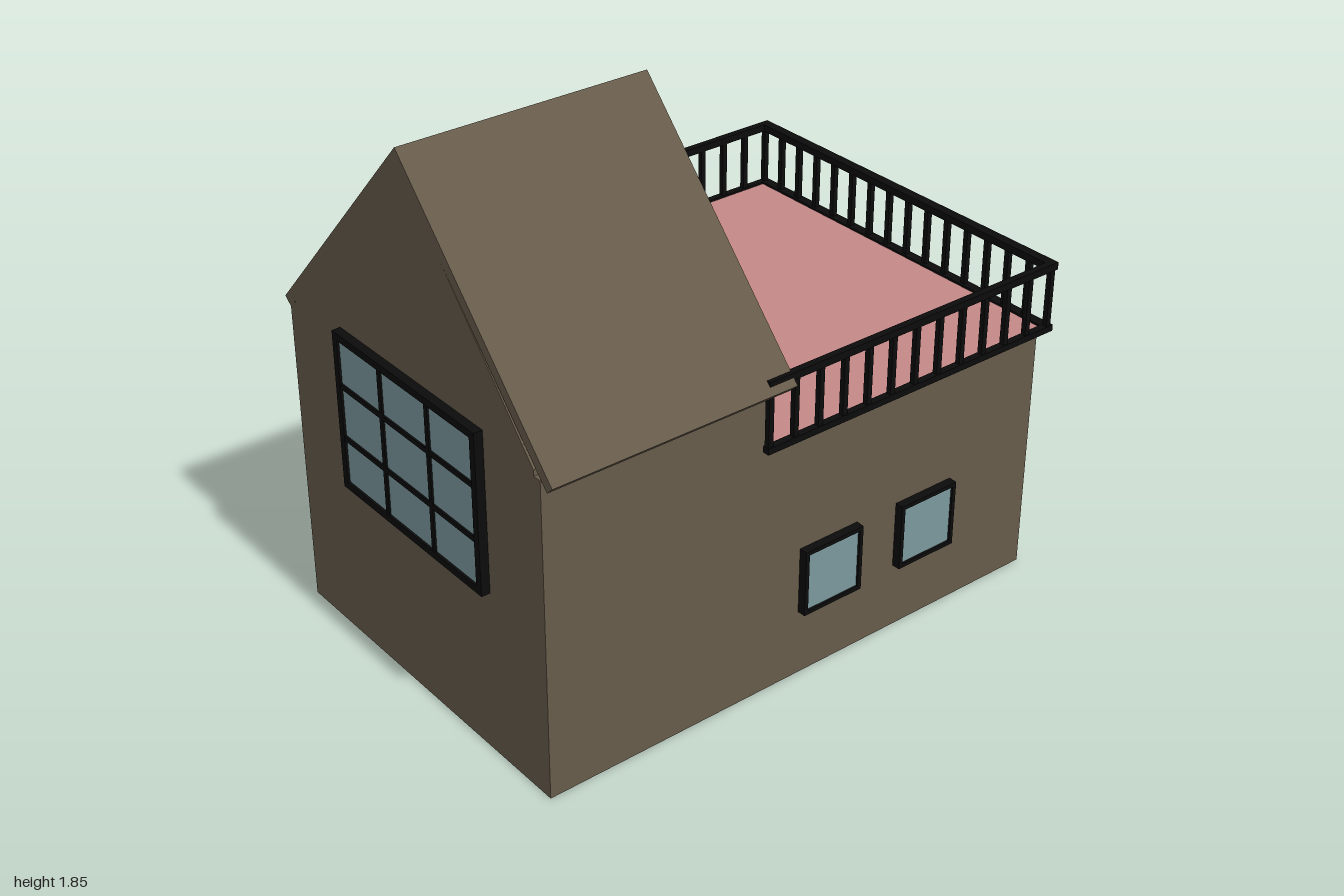
import * as THREE from 'three';

const mat = (color) => new THREE.MeshStandardMaterial({ color, flatShading: true, side: THREE.DoubleSide });
const brown = mat(0x665b4b), pink = mat(0xc48886), black = mat(0x0b0b0b), glass = mat(0x7b989c);

// Box given by its lower and upper limits on each axis
function box(parent, name, material, [x0, x1], [y0, y1], [z0, z1]) {
  const mesh = new THREE.Mesh(new THREE.BoxGeometry(x1 - x0, y1 - y0, z1 - z0), material);
  mesh.position.set((x0 + x1) / 2, (y0 + y1) / 2, (z0 + z1) / 2);
  mesh.name = name;
  parent.add(mesh);
  return mesh;
}

const outline = (points) => new THREE.Shape(points.map(([x, y]) => new THREE.Vector2(x, y)));
const rect = ([x0, x1], [y0, y1]) => outline([[x0, y0], [x1, y0], [x1, y1], [x0, y1]]);

// Flat panel with rectangular holes, extruded along local z
function panel(parent, name, material, shape, holes, depth) {
  shape.holes = holes.map(([xs, ys]) => rect(xs, ys));
  const mesh = new THREE.Mesh(new THREE.ExtrudeGeometry(shape, { depth, bevelEnabled: false }), material);
  mesh.name = name;
  parent.add(mesh);
  return mesh;
}

// Framed window in a local frame: z = 0 is the wall face, centred in depth on the wall
function makeWindow(parent, name, [x0, x1], [y0, y1], { out, panes = 1, border = 0.014, bar = 0.018 }) {
  const g = new THREE.Group();
  g.name = name;
  const inner = [[x0 + border, x1 - border], [y0 + border, y1 - border]];
  const frame = panel(g, 'windowFrame', black, rect([x0, x1], [y0, y1]), [inner], out + 0.035);
  frame.position.z = -0.035;
  box(g, 'windowGlass', glass, ...inner, [out - 0.016, out - 0.008]);
  for (let i = 1; i < panes; i++) {
    const x = x0 + (x1 - x0) * i / panes, y = y0 + (y1 - y0) * i / panes;
    box(g, 'windowBar', black, [x - bar / 2, x + bar / 2], inner[1], [-0.03, out - 0.002]);
    box(g, 'windowBar', black, inner[0], [y - bar / 2, y + bar / 2], [-0.03, out - 0.002]);
  }
  parent.add(g);
  return g;
}

export function createModel() {
  const house = new THREE.Group();
  house.name = 'house';
  const T = 0.03, front = 0.65, back = -0.66, side = 0.97;
  const winY = [0.235, 0.47];

  // Long front and back walls, stepped down at the terrace
  const longWindows = [[-0.02, 0.215], [0.38, 0.615]];
  for (const isFront of [true, false]) {
    const g = new THREE.Group();
    g.name = isFront ? 'frontWall' : 'backWall';
    const shape = outline([[-side, 0], [side, 0], [side, 0.89], [-0.15, 0.89], [-0.15, 1.1], [-side, 1.1]]);
    const wall = panel(g, 'wall', brown, shape, longWindows.map((xs) => [xs, winY]), T);
    wall.position.z = isFront ? front - T : back;
    for (const [a, b] of longWindows) {
      const w = makeWindow(g, 'window', isFront ? [a, b] : [-b, -a], winY, { out: 0.03 });
      w.position.z = isFront ? front : back;
      if (!isFront) w.rotation.y = Math.PI;
    }
    house.add(g);
  }

  // Entrance wall with a doorway and four windows (local x runs along z)
  const entryWindows = [[0.45, 0.6], [0.25, 0.4], [-0.41, -0.26], [-0.61, -0.46]];
  const entry = panel(house, 'entranceWall', brown,
    outline([[back + T, 0], [-0.2, 0], [-0.2, 0.47], [0.19, 0.47], [0.19, 0], [front - T, 0],
      [front - T, 0.89], [back + T, 0.89]]), entryWindows.map((zs) => [zs, winY]), T);
  entry.rotation.y = -Math.PI / 2;
  entry.position.x = side;
  for (const [a, b] of entryWindows) {
    const w = makeWindow(house, 'entranceWindow', [-b, -a], winY, { out: 0.012 });
    w.rotation.y = Math.PI / 2;
    w.position.x = side;
  }

  // Gable wall with the large grid window
  const bigZ = [-0.365, 0.38], bigY = [0.58, 1.13];
  const gable = panel(house, 'gableWall', brown,
    outline([[back + T, 0], [front - T, 0], [front - T, 1.12], [0.01, 1.81], [back + T, 1.12]]),
    [[bigZ, bigY]], T);
  gable.rotation.y = -Math.PI / 2;
  gable.position.x = -side + T;
  const big = makeWindow(house, 'gableWindow', bigZ, bigY, { out: 0.03, panes: 3, border: 0.025 });
  big.rotation.y = -Math.PI / 2;
  big.position.x = -side;

  // Pitched roof
  const roof = panel(house, 'roof', brown, outline([[0.01, 1.85], [0.705, 1.1], [0.68, 1.075],
    [0.01, 1.8], [-0.66, 1.075], [-0.69, 1.1]]), [], 0.87);
  roof.rotation.y = -Math.PI / 2;
  roof.position.x = -0.1;

  // Floors and terrace
  const inX = [-side + T, side - T], inZ = [back + T, front - T];
  box(house, 'groundFloor', pink, inX, [0.002, 0.03], inZ);
  box(house, 'doorThreshold', pink, [side - T, side], [0, 0.03], [-0.2, 0.19]);
  box(house, 'loftFloor', pink, [inX[0], -0.02], [0.55, 0.575], inZ);
  box(house, 'terraceFloor', pink, [-0.15, 0.975], [0.885, 0.905], [-0.69, 0.67]);

  // Inner walls
  box(house, 'lowerPartition', brown, [-0.04, -0.02], [0.03, 0.55], inZ);
  box(house, 'terraceRiser', brown, [-0.15, -0.13], [0.575, 0.885], inZ);

  // Steps from the loft up to the terrace, with posts
  for (let i = 0; i < 5; i++) {
    const x = -0.54 + i * 0.078, y = 0.635 + i * 0.06;
    box(house, 'stairStep', black, [x, x + 0.085], [y - 0.03, y], [-0.63, -0.5]);
  }
  for (const [x, z, top] of [[-0.295, -0.55, 1.21], [-0.82, -0.55, 1.21], [-0.295, 0.56, 1.21]]) {
    box(house, 'loftPost', black, [x - 0.013, x + 0.013], [0.575, top], [z - 0.013, z + 0.013]);
  }

  // Terrace railing on three sides
  const railing = new THREE.Group();
  railing.name = 'railing';
  const zf = 0.675, zb = -0.697, xr = 0.982, b = 0.009;
  const levels = [[0.89, 0.912], [1.11, 1.135]];
  for (const ys of levels) {
    for (const z of [zf, zb]) box(railing, 'sideRail', black, [-0.19, 1], ys, [z - 0.012, z + 0.012]);
    box(railing, 'endRail', black, [0.965, 1], ys, [zb - 0.012, zf + 0.012]);
  }
  const baluster = (x, z) =>
    box(railing, 'baluster', black, [x - b, x + b], [0.905, 1.115], [z - b, z + b]);
  for (let i = 0; i <= 12; i++) {
    const x = xr - i * 0.0967;
    baluster(x, zf);
    baluster(x, zb);
  }
  for (let i = 1; i < 15; i++) baluster(xr, zb + (zf - zb) * i / 15);
  house.add(railing);

  return house;
}
